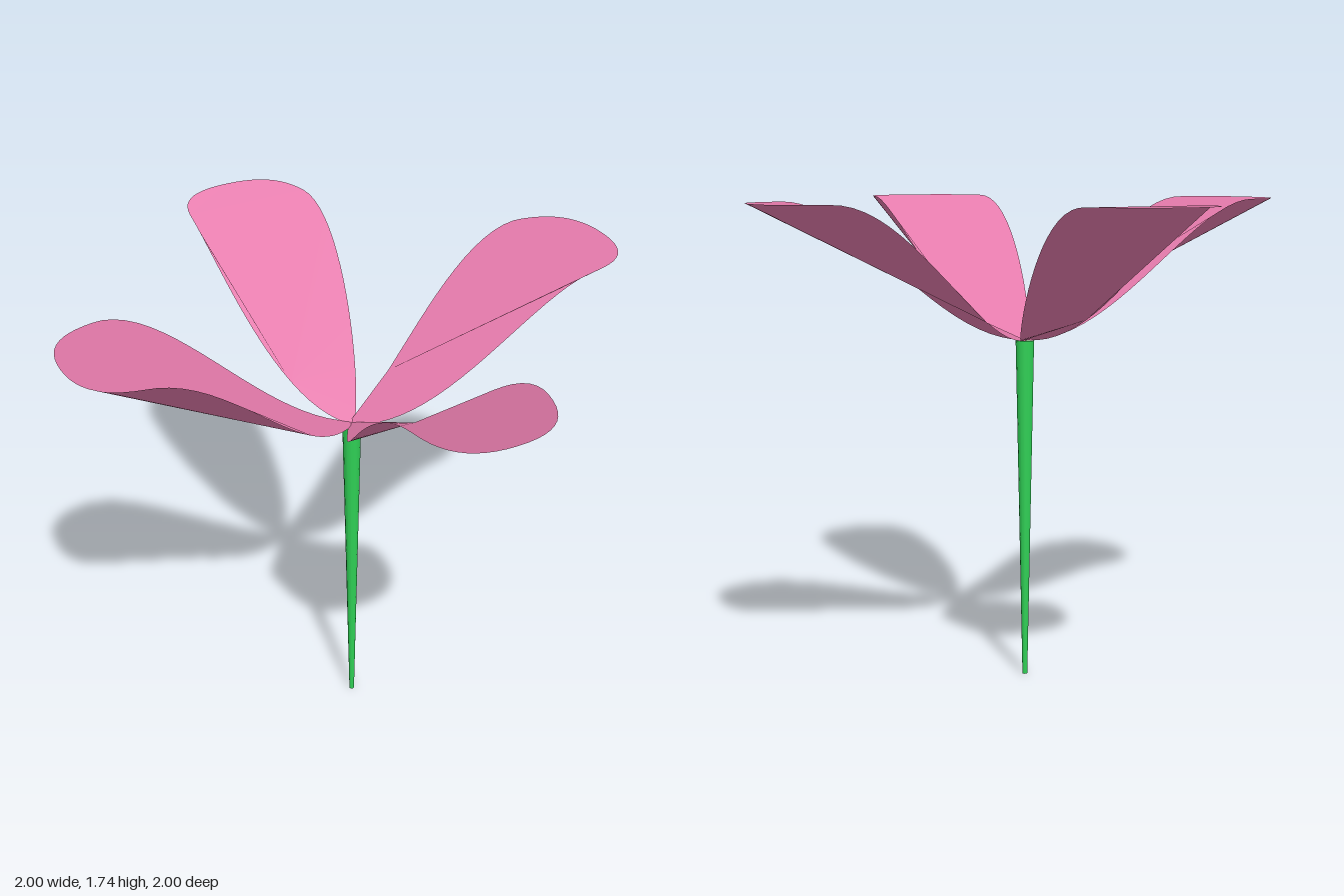
import * as THREE from 'three';

const BASE_Y = 1.245, RISE = 0.495, TILT = Math.atan(RISE);

const petalMaterial = new THREE.MeshStandardMaterial({ color: 0xe57bac, side: THREE.DoubleSide });
const stemMaterial = new THREE.MeshStandardMaterial({ color: 0x2fd055 });

// One edge of a petal from base to tip: x is half width, y is distance from the centre
function edgePoints() {
  const v = (x, y) => new THREE.Vector2(x, y);
  const flank = new THREE.CubicBezierCurve(v(0.012, 0), v(0.14, 0.2), v(0.237, 0.45), v(0.237, 0.7));
  const end = new THREE.CubicBezierCurve(v(0.237, 0.7), v(0.237, 0.9), v(0.18, 1), v(0, 1));
  return [...flank.getPoints(18), ...end.getPoints(14).slice(1)];
}

// Petal pointing to +z, its S-curved rim spanned by a fan from a point near the base
function petalGeometry(flatTip) {
  const edge = edgePoints();
  const other = edge.slice(0, -1).reverse().map((p) => new THREE.Vector2(-p.x, p.y));
  const rim = [...edge, ...other];
  const positions = [], normals = [], index = [];
  for (const p of rim) {
    positions.push(p.x, BASE_Y + RISE * THREE.MathUtils.smoothstep(p.y, 0, 0.81), p.y);
    normals.push(0, Math.cos(TILT), -Math.sin(TILT));
  }
  const fan = (ids, hub) => {
    for (let i = 1; i < ids.length; i++) {
      const a = ids[i - 1], b = ids[i];
      if (a !== hub && b !== hub) index.push(hub, b, a);
    }
    const first = ids[0], last = ids[ids.length - 1];
    if (first !== hub && last !== hub) index.push(hub, first, last);
  };
  const all = rim.map((_, i) => i);
  const hub = edge.findIndex((p) => p.y > 0.2);
  if (flatTip) {
    // the level tip is spanned on its own
    const cut = edge.findIndex((p) => p.y > 0.81);
    const cutEnd = rim.length - 1 - cut;
    fan(all.filter((i) => i <= cut || i >= cutEnd), hub);
    fan(all.filter((i) => i >= cut && i <= cutEnd), cut);
  } else {
    fan(all, hub);
  }
  const geometry = new THREE.BufferGeometry();
  geometry.setAttribute('position', new THREE.Float32BufferAttribute(positions, 3));
  geometry.setAttribute('normal', new THREE.Float32BufferAttribute(normals, 3));
  geometry.setIndex(index);
  return geometry;
}

export function createModel() {
  const flower = new THREE.Group();
  flower.name = 'flower';

  // Tapered stem, thinner at the ground
  const stem = new THREE.Mesh(new THREE.CylinderGeometry(0.033, 0.009, BASE_Y, 12), stemMaterial);
  stem.name = 'stem';
  stem.position.y = BASE_Y / 2;
  flower.add(stem);

  // Four petals in a cross
  ['frontPetal', 'leftPetal', 'backPetal', 'rightPetal'].forEach((name, i) => {
    const petal = new THREE.Mesh(petalGeometry(name === 'backPetal'), petalMaterial);
    petal.name = name;
    petal.rotation.y = i * Math.PI / 2;
    flower.add(petal);
  });

  return flower;
}
